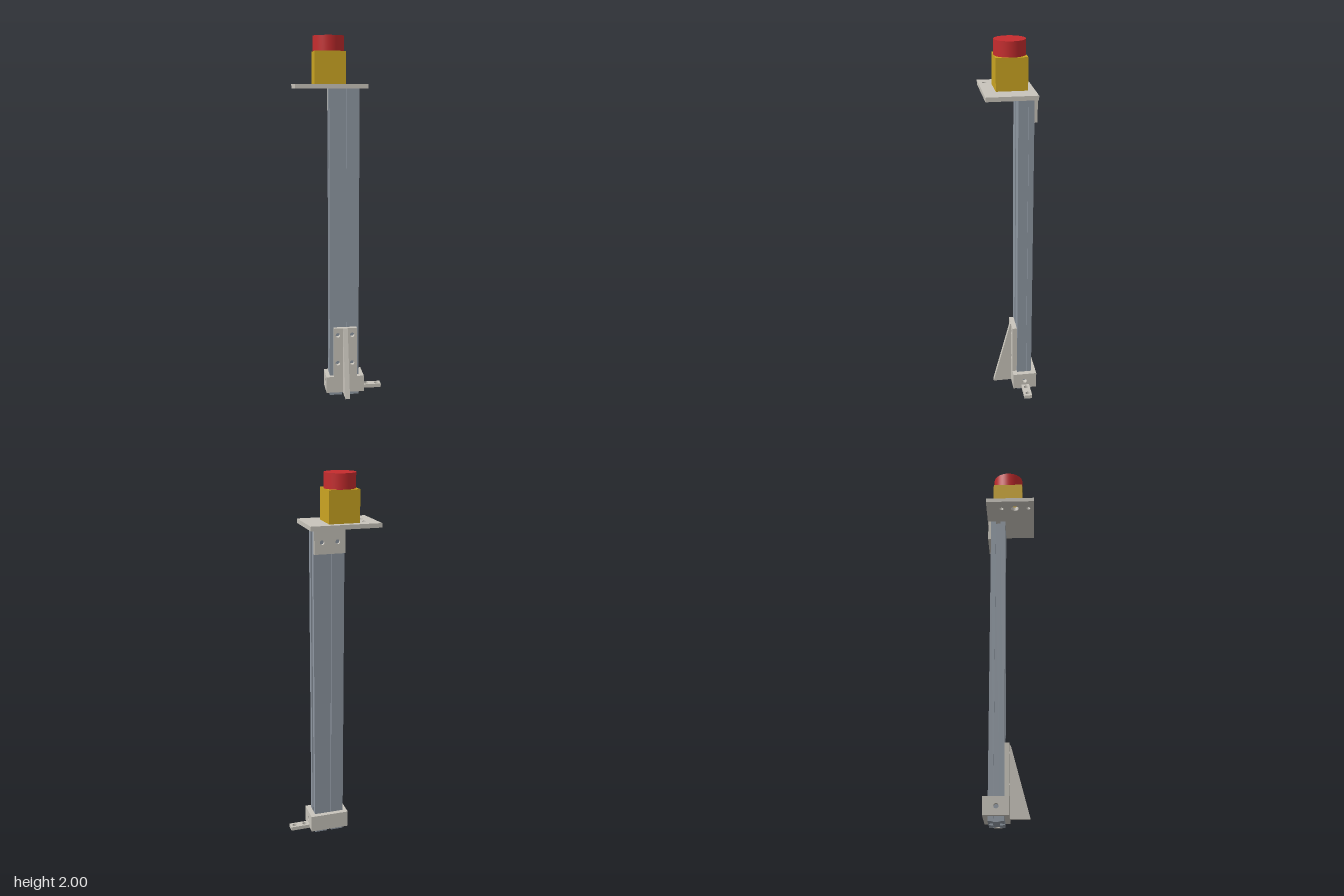
import * as THREE from 'three';

const MATERIALS = {
  aluminium: new THREE.MeshStandardMaterial({ name: 'aluminium', color: 0x8f98a2 }),
  bracketGrey: new THREE.MeshStandardMaterial({ name: 'bracketGrey', color: 0xc8c4bb }),
  yellow: new THREE.MeshStandardMaterial({ name: 'yellow', color: 0xcba522 }),
  red: new THREE.MeshStandardMaterial({ name: 'red', color: 0xc62c2e }),
};

// Flat sheet from an outline with round holes [x, y, radius], facing +z
function sheet(points, depth, holes = []) {
  const shape = new THREE.Shape(points.map(([x, y]) => new THREE.Vector2(x, y)));
  for (const [x, y, r] of holes) {
    const path = new THREE.Path();
    path.absarc(x, y, r, 0, Math.PI * 2, true);
    shape.holes.push(path);
  }
  return new THREE.ExtrudeGeometry(shape, { depth, bevelEnabled: false, curveSegments: 16 });
}

const rect = (x0, x1, y0, y1) => [[x0, y0], [x1, y0], [x1, y1], [x0, y1]];

// Orientations: flat uses outline (x, -z) and rises in y; side uses outline (-z, y) and runs along x
const flat = (geometry, y) => geometry.rotateX(-Math.PI / 2).translate(0, y, 0);
const side = (geometry, x) => geometry.rotateY(Math.PI / 2).translate(x, 0, 0);

function box(x0, x1, y0, y1, z0, z1) {
  return new THREE.BoxGeometry(x1 - x0, y1 - y0, z1 - z0)
    .translate((x0 + x1) / 2, (y0 + y1) / 2, (z0 + z1) / 2);
}

// Column cross-section with one T-slot in the middle of each face
function columnOutline(cx, cy, hx, hy) {
  const mouth = 0.013, cavity = 0.022, lip = 0.01, deep = 0.024;
  const slot = [[-mouth, 0], [-mouth, lip], [-cavity, lip], [-cavity, deep],
    [cavity, deep], [cavity, lip], [mouth, lip], [mouth, 0]];
  const points = [];
  for (let i = 0; i < 4; i++) {
    const a = i * Math.PI / 2, c = Math.round(Math.cos(a)), s = Math.round(Math.sin(a));
    const [along, out] = i % 2 ? [hy, hx] : [hx, hy];
    for (const [u, d] of [[-along, 0], ...slot]) {
      const v = d - out;
      points.push([cx + u * c - v * s, cy + u * s + v * c]);
    }
  }
  return points;
}

export function createModel() {
  const model = new THREE.Group();
  model.name = 'buttonPost';
  const add = (parent, name, geometry, material) => {
    const mesh = new THREE.Mesh(geometry, MATERIALS[material]);
    mesh.name = name;
    parent.add(mesh);
  };
  const group = (name) => {
    const g = new THREE.Group();
    g.name = name;
    model.add(g);
    return g;
  };

  // Slotted column
  add(model, 'column',
    flat(sheet(columnOutline(0.029, 0.071, 0.082, 0.041), 1.728), 0), 'aluminium');

  // Sleeve around the foot of the column, with a screw hole in each end
  const foot = group('footBracket');
  add(foot, 'sleeveFront', box(-0.075, 0.139, 0.024, 0.117, -0.03, -0.005), 'bracketGrey');
  add(foot, 'sleeveBack', box(-0.075, 0.139, 0.024, 0.117, -0.138, -0.112), 'bracketGrey');
  for (const [name, x0, x1] of [['sleeveRight', -0.075, -0.053], ['sleeveLeft', 0.111, 0.139]]) {
    add(foot, name,
      side(sheet(rect(0.03, 0.112, 0.024, 0.117), x1 - x0, [[0.07, 0.07, 0.013]]), x0), 'bracketGrey');
  }

  // Upright plate with four screw holes and a triangular rib
  const screws = [];
  for (const x of [-0.01, 0.071]) for (const y of [0.198, 0.362]) screws.push([x, y, 0.013]);
  add(foot, 'uprightPlate',
    sheet(rect(-0.032, 0.098, 0.117, 0.402), 0.025, screws).translate(0, 0, -0.03), 'bracketGrey');
  add(foot, 'rib',
    side(sheet([[-0.098, 0.024], [0.005, 0.024], [0.005, 0.402], [0, 0.402]], 0.026), 0.019), 'bracketGrey');

  // Side tab with two holes
  add(foot, 'sideTab',
    flat(sheet(rect(0.139, 0.246, 0.052, 0.096), 0.021,
      [[0.164, 0.074, 0.012], [0.222, 0.074, 0.012]]), 0.024), 'bracketGrey');

  // Top plate with cable holes, and the flange that screws to the column
  const top = group('topBracket');
  add(top, 'topPlate',
    flat(sheet(rect(-0.248, 0.13, -0.137, 0.131), 0.023,
      [[-0.179, 0.047, 0.0116], [-0.179, -0.029, 0.0214], [-0.179, -0.105, 0.0116]]), 1.728), 'bracketGrey');
  add(top, 'backFlange',
    sheet(rect(-0.053, 0.111, 1.608, 1.728), 0.016,
      [[-0.012, 1.668, 0.012], [0.07, 1.668, 0.012]]).translate(0, 0, -0.128), 'bracketGrey');

  // Push button
  const button = group('pushButton');
  add(button, 'buttonHousing', box(-0.141, 0.023, 1.751, 1.92, -0.094, 0.071), 'yellow');
  add(button, 'buttonCap',
    new THREE.CylinderGeometry(0.0825, 0.0825, 0.08, 48).translate(-0.059, 1.96, -0.0115), 'red');

  return model;
}
